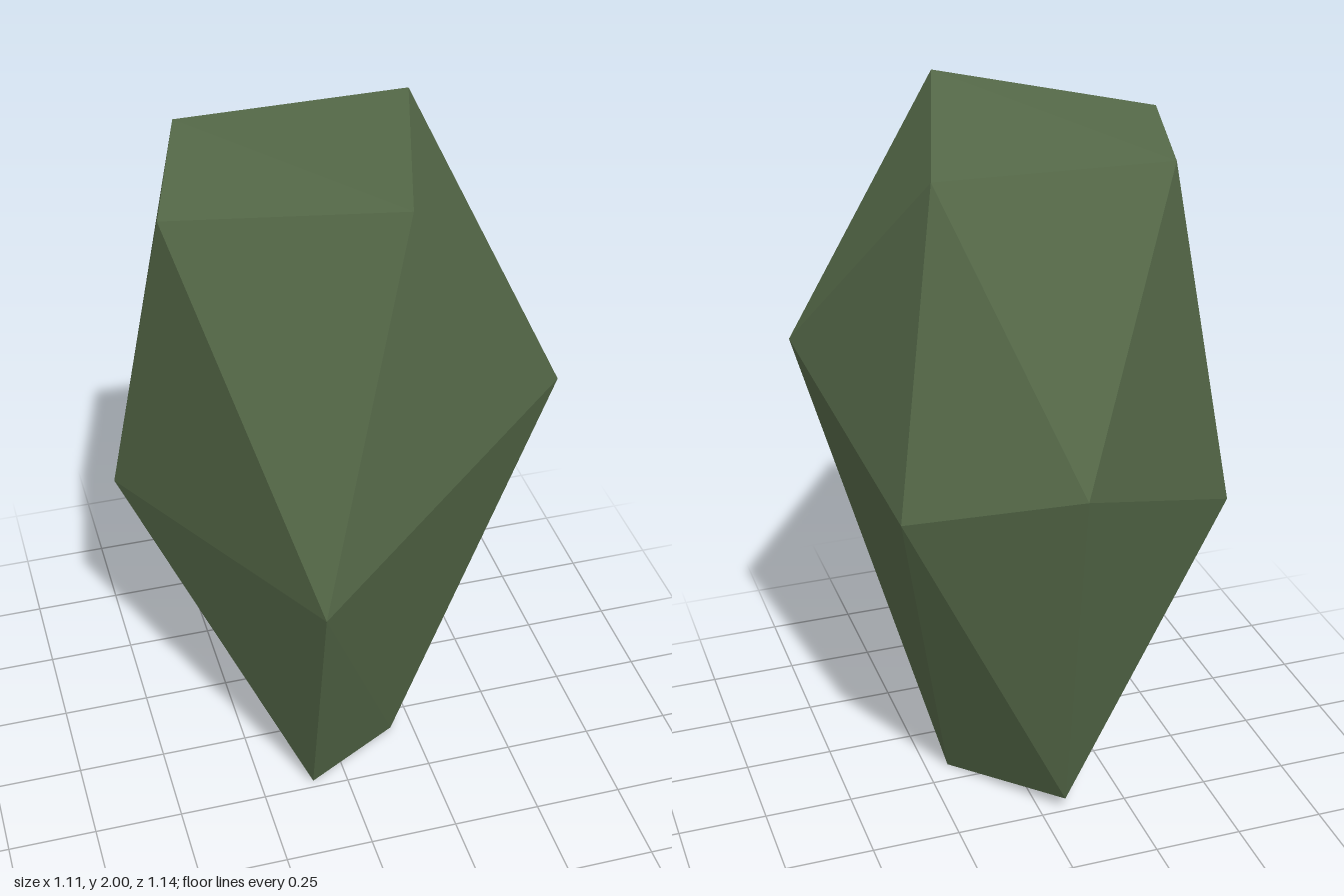
import * as THREE from 'three';
import { ConvexGeometry } from 'three/addons/geometries/ConvexGeometry.js';

export function createModel() {
  const model = new THREE.Group();
  model.name = 'rock';

  const mossGreen = new THREE.MeshStandardMaterial({ color: 0x566a49 });
  mossGreen.name = 'mossGreen';

  // Corners of the faceted boulder, from the crown down to the narrow foot
  const crown = [[-0.46, 1.92, 0.18], [0.09, 2, 0.43], [0.305, 1.94, -0.285], [-0.32, 1.93, -0.295]];
  const waist = [[-0.555, 0.9, -0.19], [-0.155, 0.93, 0.57], [0.55, 1.345, 0.27],
    [0.425, 1.08, -0.37], [0, 1.175, -0.573]];
  const foot = [[-0.1, 0.005, 0.23], [0.185, 0, 0.075], [-0.065, 0.05, -0.26]];

  // Flat-faced hull wrapped around the corners
  const corners = [...crown, ...waist, ...foot].map((p) => new THREE.Vector3(...p));
  const boulder = new THREE.Mesh(new ConvexGeometry(corners), mossGreen);
  boulder.name = 'boulder';
  model.add(boulder);

  return model;
}
